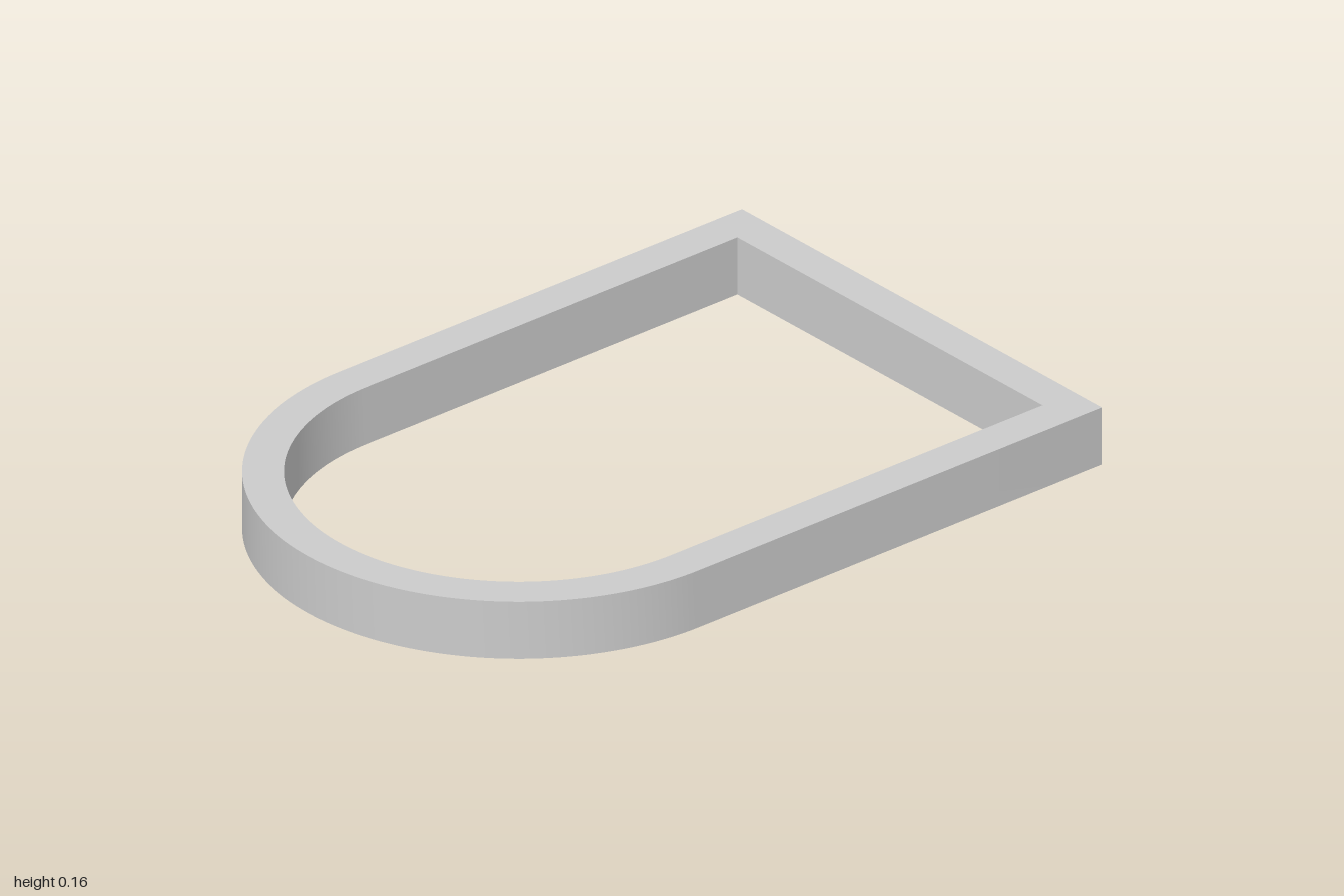
import * as THREE from 'three';
import { toCreasedNormals } from 'three/addons/utils/BufferGeometryUtils.js';

const HEIGHT = 0.16;
const ARC_Z = 0.315; // centre of the rounded front end

// U-shaped outline: square at the back, half circle at the front (shape y = -z)
function outline(path, radius, backZ) {
  path.moveTo(radius, -backZ);
  path.lineTo(-radius, -backZ);
  path.lineTo(-radius, -ARC_Z);
  path.absarc(0, -ARC_Z, radius, Math.PI, Math.PI * 2, false);
  path.closePath();
  return path;
}

export function createModel() {
  const group = new THREE.Group();
  group.name = 'archedFrame';

  // Frame band: outer outline with the inset outline cut out
  const shape = outline(new THREE.Shape(), 0.685, -1);
  shape.holes.push(outline(new THREE.Path(), 0.58, -0.895));

  const extruded = new THREE.ExtrudeGeometry(shape, {
    depth: HEIGHT,
    bevelEnabled: false,
    curveSegments: 48,
  });
  extruded.rotateX(-Math.PI / 2);

  const frame = new THREE.Mesh(
    toCreasedNormals(extruded, Math.PI / 6),
    new THREE.MeshStandardMaterial({ color: 0xcccccc })
  );
  frame.name = 'frame';
  group.add(frame);
  return group;
}
